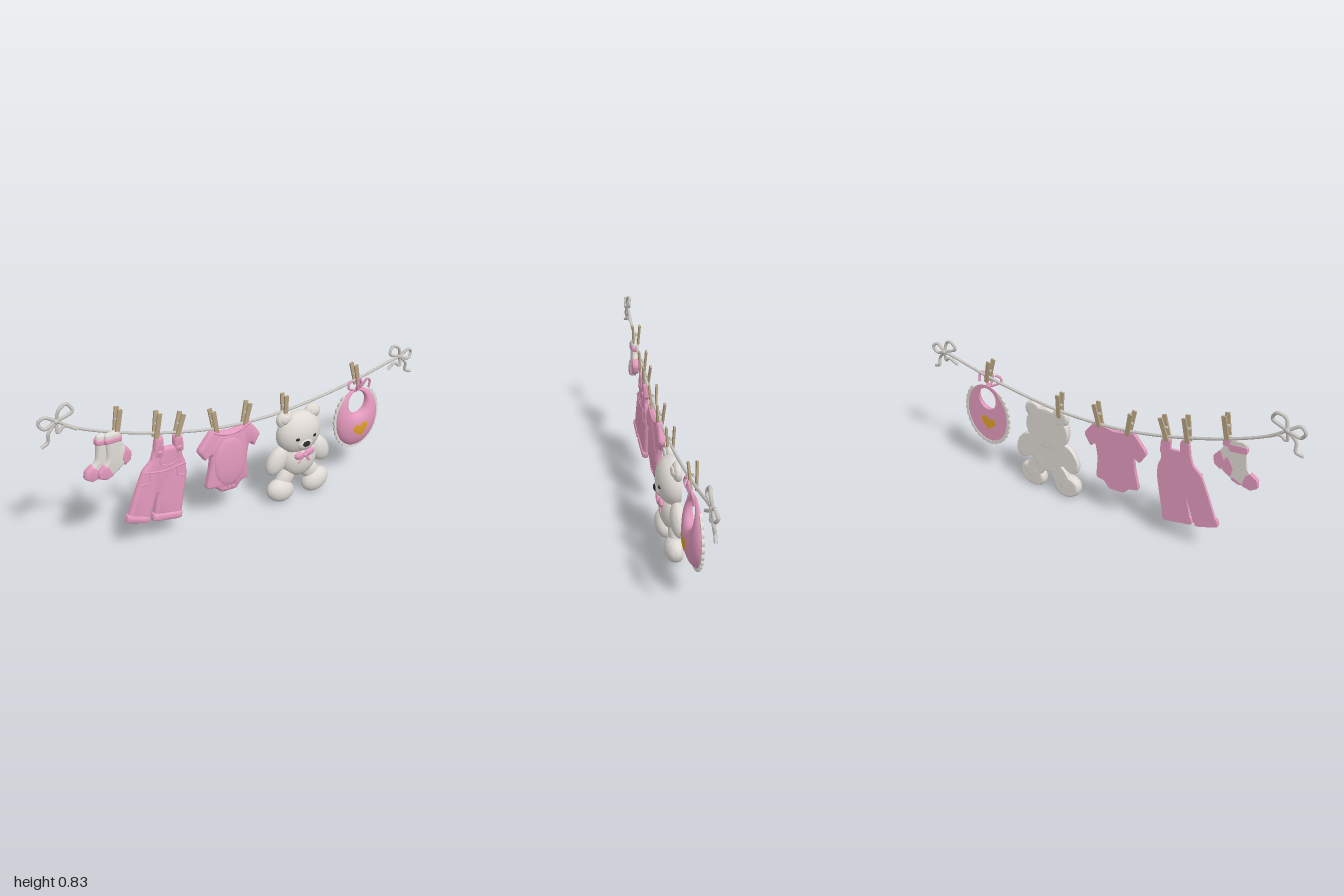
import * as THREE from 'three';
import { toCreasedNormals } from 'three/addons/utils/BufferGeometryUtils.js';
import { ParametricGeometry } from 'three/addons/geometries/ParametricGeometry.js';

const BACK = -0.043; // shared flat back plane of everything on the line
const ROPE_Z = -0.037;

const flat = (name, color, side = THREE.FrontSide) => {
  const m = new THREE.MeshStandardMaterial({ color, side });
  m.name = name;
  return m;
};

export function createModel() {
  const pink = flat('pink', 0xe39abd, THREE.DoubleSide);
  const cream = flat('cream', 0xdfdad5);
  const ropeGrey = flat('rope grey', 0xc9c6c2);
  const wood = flat('wood', 0xb8a484);
  const yellow = flat('yellow', 0xe0a02a, THREE.DoubleSide);
  const black = flat('black', 0x2b2929);

  const root = new THREE.Group();
  root.name = 'babyClothesline';
  const group = (name) => {
    const g = new THREE.Group();
    g.name = name;
    root.add(g);
    return g;
  };
  const add = (parent, name, geo, mat) => {
    const m = new THREE.Mesh(geo, mat);
    m.name = name;
    parent.add(m);
    return m;
  };

  // Presses everything behind the plane z = back onto it
  const flatten = (geo, back) => {
    const p = geo.attributes.position;
    for (let i = 0; i < p.count; i++) p.setZ(i, Math.max(p.getZ(i), back));
    return toCreasedNormals(geo, 0.8);
  };

  // Polygon with rounded corners
  const rounded = (pts, f) => {
    const v = pts.map(([x, y]) => new THREE.Vector2(x, y));
    const s = new THREE.Shape();
    v.forEach((p, i) => {
      const a = p.clone().lerp(v[(i + v.length - 1) % v.length], f);
      const b = p.clone().lerp(v[(i + 1) % v.length], f);
      if (i === 0) s.moveTo(a.x, a.y); else s.lineTo(a.x, a.y);
      s.quadraticCurveTo(p.x, p.y, b.x, b.y);
    });
    s.closePath();
    return s;
  };

  // Flat-backed padded shape
  const puff = (parent, name, mat, pts, height, bevel, z = BACK, f = 0.3) => {
    const geo = new THREE.ExtrudeGeometry(rounded(pts, f), {
      depth: height * 0.35, bevelThickness: height * 0.65, bevelSize: bevel,
      bevelOffset: -bevel, bevelSegments: 5, curveSegments: 5,
    });
    return add(parent, name, flatten(geo, 0).translate(0, 0, z), mat);
  };

  // Flat-backed ellipsoid
  const blob = (parent, name, mat, c, r, rot = 0) => {
    const geo = new THREE.SphereGeometry(1, 32, 20).scale(...r).rotateZ(rot).translate(...c);
    return add(parent, name, flatten(geo, BACK), mat);
  };

  const tube = (parent, name, mat, pts, r, z) => {
    const curve = new THREE.CatmullRomCurve3(pts.map((p) => new THREE.Vector3(p[0], p[1], p[2] ?? z)));
    return add(parent, name, new THREE.TubeGeometry(curve, pts.length * 8, r, 8), mat);
  };

  // Rope with a bow at each end
  const line = group('line');
  const knots = [[-0.914, 0.763, 1], [0.912, 0.62, -1]];
  tube(line, 'rope', ropeGrey, [[-0.914, 0.763], [-0.837, 0.711], [-0.58, 0.61], [-0.206, 0.519], [0.14, 0.497],
    [0.436, 0.524], [0.65, 0.561], [0.837, 0.604], [0.912, 0.62]], 0.007, ROPE_Z);
  const bowParts = [
    [[0, 0], [-0.05, 0.03], [-0.075, 0.01], [-0.055, -0.02], [0, 0]],
    [[0, 0], [0.015, 0.05], [0.05, 0.065], [0.07, 0.03], [0, 0]],
    [[0, 0], [-0.04, -0.045], [-0.045, -0.085], [-0.078, -0.1]],
    [[0, 0], [0.0, -0.05], [0.03, -0.03], [0.08, -0.056]],
  ];
  for (const [kx, ky, s] of knots) {
    for (const p of bowParts) {
      tube(line, 'ropeBow', ropeGrey, p.map(([x, y], i) => [kx + s * x, ky + y, ROPE_Z + (i % 2) * 0.006]), 0.0075);
    }
    const knot = add(line, 'ropeKnot', new THREE.SphereGeometry(0.014, 16, 12), ropeGrey);
    knot.position.set(kx, ky, ROPE_Z);
  }

  // Clothespins: two wooden prongs and a spring, given as bottom and top points
  const pins = [[-0.665, 0.64, -0.645, 0.75], [-0.485, 0.56, -0.465, 0.68], [-0.385, 0.535, -0.35, 0.645],
    [-0.18, 0.495, -0.2, 0.615], [-0.03, 0.49, -0.005, 0.605], [0.2, 0.465, 0.198, 0.59], [0.64, 0.53, 0.61, 0.65]];
  for (const [x0, y0, x1, y1] of pins) {
    const pin = group('clothespin');
    const len = Math.hypot(x1 - x0, y1 - y0);
    pin.position.set((x0 + x1) / 2, (y0 + y1) / 2, -0.034);
    pin.rotation.z = -Math.atan2(x1 - x0, y1 - y0);
    for (const s of [-1, 1]) {
      const prong = add(pin, 'prong', new THREE.BoxGeometry(0.021, len, 0.009), wood);
      prong.position.z = s * 0.015;
      prong.rotation.x = s * 0.06;
    }
    const spring = add(pin, 'spring', new THREE.CylinderGeometry(0.006, 0.006, 0.026, 10).rotateZ(Math.PI / 2), ropeGrey);
    spring.position.y = 0.005;
  }

  // Pair of socks, the left one hanging behind at a slight tilt
  const sockShape = [[-0.725, 0.65], [-0.65, 0.655], [-0.648, 0.59], [-0.61, 0.535], [-0.62, 0.5], [-0.69, 0.45],
    [-0.735, 0.435], [-0.765, 0.45], [-0.765, 0.475], [-0.72, 0.525], [-0.72, 0.59]];
  const toe = [[-0.768, 0.482], [-0.77, 0.447], [-0.735, 0.43], [-0.695, 0.445], [-0.715, 0.495], [-0.738, 0.51]];
  const heel = [[-0.637, 0.575], [-0.606, 0.535], [-0.615, 0.497], [-0.645, 0.477], [-0.66, 0.52]];
  const band = [[-0.727, 0.632], [-0.727, 0.6], [-0.645, 0.602], [-0.645, 0.634]];
  for (const [dx, dy, dz, rot] of [[0, 0, 0.008, 0], [-0.03, -0.005, -0.006, -0.13]]) {
    const sock = group('sock');
    const place = ([x, y]) => {
      const px = x + 0.69, py = y - 0.65, c = Math.cos(rot), s = Math.sin(rot);
      return [-0.69 + dx + px * c - py * s, 0.65 + dy + px * s + py * c];
    };
    puff(sock, 'sockBody', cream, sockShape.map(place), 0.024, 0.014, BACK + dz);
    for (const [n, p] of [['sockToe', toe], ['sockHeel', heel], ['sockBand', band]]) {
      puff(sock, n, pink, p.map(place), 0.03, 0.009, BACK + dz - 0.003, 0.2);
    }
  }

  // Overalls
  const overalls = group('overalls');
  puff(overalls, 'overallsBody', pink, [[-0.5, 0.5], [-0.445, 0.5], [-0.405, 0.497], [-0.355, 0.49], [-0.36, 0.44],
    [-0.342, 0.39], [-0.342, 0.33], [-0.383, 0.105], [-0.525, 0.135], [-0.492, 0.285], [-0.545, 0.135], [-0.655, 0.175],
    [-0.595, 0.33], [-0.56, 0.41], [-0.515, 0.45]], 0.024, 0.016, BACK, 0.2);
  puff(overalls, 'strap', pink, [[-0.505, 0.46], [-0.488, 0.57], [-0.448, 0.56], [-0.452, 0.46]], 0.027, 0.01);
  puff(overalls, 'strap', pink, [[-0.4, 0.46], [-0.4, 0.55], [-0.355, 0.542], [-0.35, 0.46]], 0.027, 0.01);
  puff(overalls, 'cuff', pink, [[-0.662, 0.172], [-0.55, 0.131], [-0.537, 0.168], [-0.648, 0.212]], 0.03, 0.011, BACK, 0.2);
  puff(overalls, 'cuff', pink, [[-0.532, 0.132], [-0.382, 0.101], [-0.373, 0.145], [-0.522, 0.175]], 0.03, 0.011, BACK, 0.2);
  const seamZ = BACK + 0.023;
  tube(overalls, 'waistSeam', pink, [[-0.555, 0.405], [-0.46, 0.387], [-0.352, 0.397]], 0.005, seamZ);
  tube(overalls, 'bibPocket', pink, [[-0.475, 0.475], [-0.472, 0.425], [-0.43, 0.41], [-0.39, 0.425], [-0.385, 0.475]], 0.004, seamZ);
  tube(overalls, 'pocketSeam', pink, [[-0.575, 0.345], [-0.54, 0.35], [-0.53, 0.39]], 0.004, seamZ);
  tube(overalls, 'pocketSeam', pink, [[-0.355, 0.335], [-0.39, 0.345], [-0.395, 0.385]], 0.004, seamZ);
  for (const x of [-0.475, -0.378]) blob(overalls, 'strapButton', pink, [x, 0.487, -0.016], [0.011, 0.011, 0.006]);

  // Bodysuit
  const suit = group('bodysuit');
  puff(suit, 'bodysuitBody', pink, [[-0.21, 0.515], [-0.16, 0.497], [-0.11, 0.488], [-0.055, 0.495], [-0.005, 0.512],
    [0.057, 0.43], [0.02, 0.37], [-0.008, 0.395], [-0.02, 0.32], [-0.012, 0.205], [-0.055, 0.2], [-0.085, 0.163],
    [-0.165, 0.168], [-0.195, 0.2], [-0.247, 0.212], [-0.222, 0.32], [-0.215, 0.39], [-0.247, 0.365], [-0.285, 0.425]],
  0.03, 0.016, BACK, 0.2);
  blob(suit, 'tummy', pink, [-0.118, 0.33, -0.02], [0.09, 0.135, 0.021]);
  const suitZ = BACK + 0.027;
  tube(suit, 'neckTrim', pink, [[-0.205, 0.508], [-0.16, 0.486], [-0.11, 0.476], [-0.055, 0.484], [-0.012, 0.505]], 0.006, suitZ);
  tube(suit, 'legTrim', pink, [[-0.24, 0.222], [-0.195, 0.212], [-0.165, 0.178]], 0.006, suitZ - 0.006);
  tube(suit, 'legTrim', pink, [[-0.018, 0.215], [-0.055, 0.21], [-0.088, 0.172]], 0.006, suitZ - 0.006);
  tube(suit, 'sleeveTrim', pink, [[-0.27, 0.425], [-0.241, 0.378]], 0.006, suitZ - 0.006);
  tube(suit, 'sleeveTrim', pink, [[0.043, 0.43], [0.016, 0.382]], 0.006, suitZ - 0.006);
  for (const x of [-0.148, -0.125, -0.102]) blob(suit, 'snap', pink, [x, 0.19, suitZ + 0.003], [0.007, 0.007, 0.005]);

  // Teddy bear, flat at the back
  const bear = group('teddyBear');
  blob(bear, 'head', cream, [0.28, 0.37, -0.03], [0.124, 0.114, 0.08]);
  blob(bear, 'body', cream, [0.285, 0.225, -0.03], [0.1, 0.103, 0.065]);
  blob(bear, 'snout', cream, [0.278, 0.335, 0.03], [0.046, 0.038, 0.025]);
  blob(bear, 'nose', black, [0.277, 0.337, 0.049], [0.022, 0.016, 0.011]);
  for (const s of [-1, 1]) {
    blob(bear, 'ear', cream, [0.28 + s * 0.08, 0.457, -0.03], [0.048, 0.045, 0.024]);
    blob(bear, 'innerEar', cream, [0.28 + s * 0.083, 0.463, -0.008], [0.027, 0.024, 0.008]);
    blob(bear, 'eye', black, [0.28 + s * 0.047, 0.368, 0.04], [0.013, 0.009, 0.007]);
    blob(bear, 'arm', cream, [0.283 + s * 0.124, 0.24, -0.03], [0.055, 0.085, 0.04], s * 0.55);
    blob(bear, 'leg', cream, [0.282 + s * 0.075, 0.125, -0.03], [0.047, 0.085, 0.035], s * 0.6);
    blob(bear, 'foot', cream, [0.278 + s * 0.106, 0.068, -0.018], [0.078, 0.062, 0.05], s * 0.35);
    // Bow tie
    blob(bear, 'bowLoop', pink, [0.28 + s * 0.03, 0.27 + s * 0.004, 0.031], [0.03, 0.02, 0.012], s * 0.25);
    puff(bear, 'bowTail', pink, [[0.278, 0.268], [0.29, 0.27], [0.285 + s * 0.035, 0.225], [0.27 + s * 0.03, 0.222]], 0.01, 0.003, 0.026);
  }
  blob(bear, 'bowKnot', pink, [0.28, 0.268, 0.037], [0.012, 0.014, 0.01]);

  // Bib: a dome with a neck hole, over a scalloped frill
  const bib = group('bib');
  const dome = (x, y) => {
    const e2 = ((x - 0.65) / 0.13) ** 2 + ((y - 0.343) / 0.163) ** 2;
    const g2 = ((x - 0.645) / 0.055) ** 2 + ((y - 0.43) / 0.06) ** 2;
    return BACK + 0.058 * Math.sqrt(Math.max(0, 1 - e2)) * Math.max(0, 1 - 1 / Math.max(g2, 1e-6)) ** 0.4;
  };
  const heart = (t, r) => {
    const x = (16 * Math.sin(t) ** 3 / 17) * 0.048 * r;
    const y = ((13 * Math.cos(t) - 5 * Math.cos(2 * t) - 2 * Math.cos(3 * t) - Math.cos(4 * t)) / 17) * 0.048 * r;
    return [0.648 + x * 0.98 - y * 0.2, 0.292 + x * 0.2 + y * 0.98];
  };
  const surface = (name, mat, f) => {
    const geo = new ParametricGeometry(f, 64, 14);
    geo.computeVertexNormals();
    add(bib, name, geo, mat);
  };
  for (const front of [true, false]) {
    surface(front ? 'bibFront' : 'bibBack', pink, (u, v, out) => {
      const c = Math.cos(u * 2 * Math.PI), s = Math.sin(u * 2 * Math.PI);
      const k = (1 - Math.cos(v * Math.PI)) / 2; // denser rows near both rims
      const x = THREE.MathUtils.lerp(0.65 + 0.13 * c, 0.645 + 0.055 * c, k);
      const y = THREE.MathUtils.lerp(0.343 + 0.163 * s, 0.43 + 0.06 * s, k);
      out.set(x, y, front ? dome(x, y) : BACK);
    });
    surface('heart', yellow, (u, v, out) => {
      const [x, y] = heart(u * 2 * Math.PI, v);
      out.set(x, y, front ? dome(x, y) + 0.003 : BACK - 0.003);
    });
  }
  const rim = (a, k) => new THREE.Vector2(0.65 + 0.13 * k * Math.sin(a), 0.343 - 0.163 * k * Math.cos(a));
  const outer = [], inner = [];
  for (let i = 0; i <= 192; i++) {
    const a = -2.5 + (5 * i) / 192;
    outer.push(rim(a, 1.05 + 0.045 * Math.abs(Math.sin((i / 192) * 24 * Math.PI))));
    inner.unshift(rim(a, 0.96));
  }
  const frill = new THREE.ExtrudeGeometry(new THREE.Shape([...outer, ...inner]), { depth: 0.012, bevelEnabled: false });
  add(bib, 'frill', frill.translate(0, 0, BACK - 0.003), cream);
  tube(bib, 'tie', pink, [[0.64, 0.497, -0.035], [0.6, 0.515, -0.02], [0.57, 0.535, -0.012], [0.575, 0.56, -0.015], [0.6, 0.565, -0.02]], 0.006);
  tube(bib, 'tie', pink, [[0.64, 0.497, -0.035], [0.665, 0.53, -0.02], [0.685, 0.56, -0.012], [0.705, 0.545, -0.015], [0.705, 0.505, -0.02]], 0.006);
  tube(bib, 'tieLoop', pink, [[0.64, 0.495, -0.035], [0.625, 0.53, -0.014], [0.632, 0.575, -0.012], [0.65, 0.55, -0.014], [0.645, 0.5, -0.03]], 0.006);

  return root;
}
